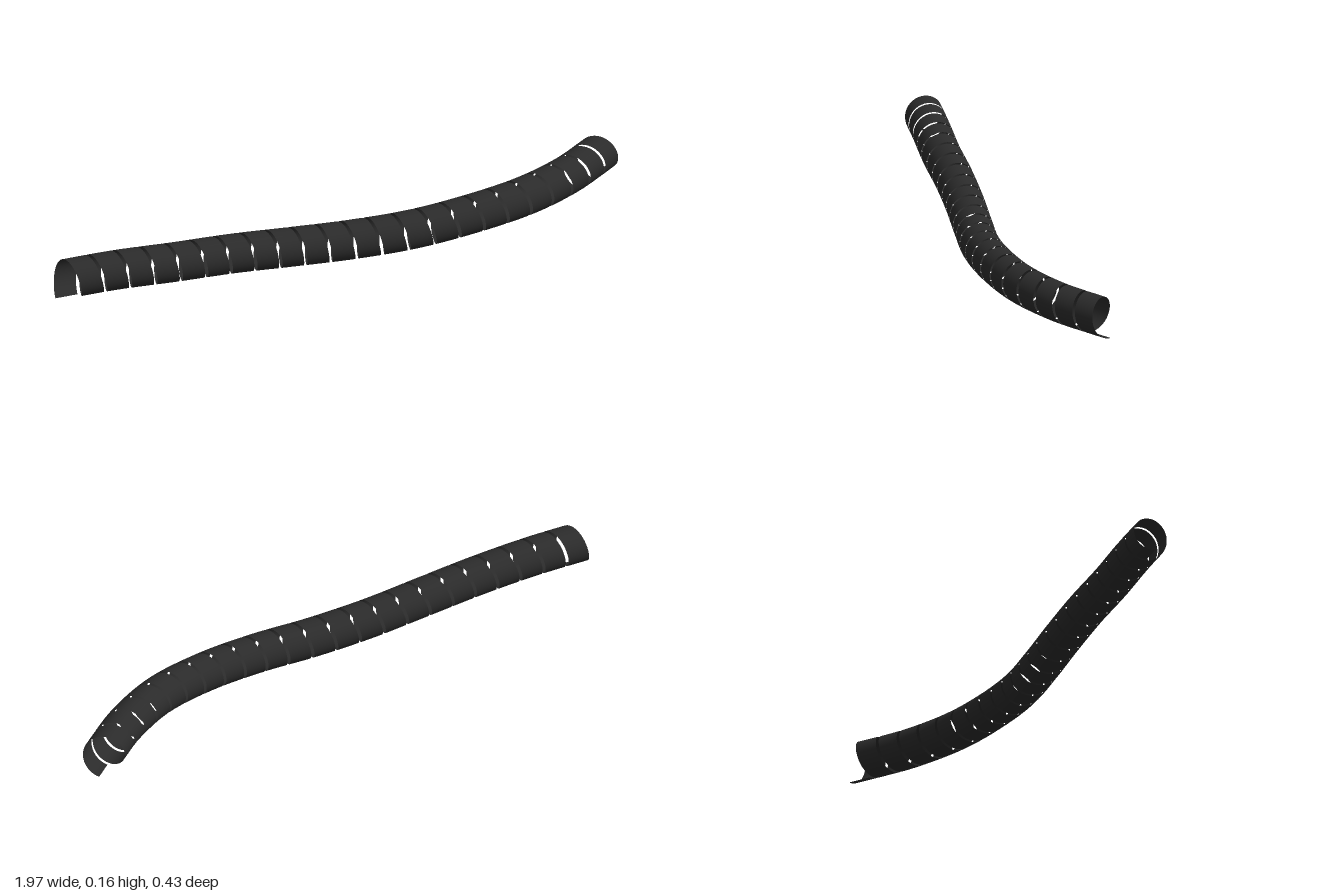
import * as THREE from 'three';

const RADIUS = 0.063;
const TURNS = 23;
const SEGMENTS = 40; // per turn
const ACROSS = 4; // divisions over the strip width

export function createModel() {
  const group = new THREE.Group();
  group.name = 'spiralWrap';

  // Centre line of the bundle the strip is wound round
  const path = new THREE.CatmullRomCurve3([
    [-1.0, 0.092, 0.146], [-0.8, 0.096, 0.14], [-0.6, 0.09, 0.133], [-0.4, 0.082, 0.118],
    [-0.2, 0.07, 0.108], [0, 0.064, 0.106], [0.2, 0.068, 0.104], [0.4, 0.077, 0.077],
    [0.6, 0.083, 0.02], [0.77, 0.083, -0.075], [0.88, 0.083, -0.163], [0.943, 0.083, -0.217],
  ].map((p) => new THREE.Vector3(...p)));
  path.arcLengthDivisions = 600;

  const up = new THREE.Vector3(0, 1, 0);
  const pitch = 1 / (TURNS + 0.87);
  const width = pitch * 0.87;

  // Point on the tube: angle 0 is the bottom, then back, top and front
  function tubePoint(u, angle) {
    const centre = path.getPointAt(u);
    const tangent = path.getTangentAt(u);
    const side = tangent.clone().cross(up).normalize();
    const above = side.clone().cross(tangent).normalize();
    return centre
      .addScaledVector(above, -Math.cos(angle) * RADIUS)
      .addScaledVector(side, -Math.sin(angle) * RADIUS);
  }

  // Helical strip, one row of points across the width per step
  const positions = [];
  const indices = [];
  const steps = TURNS * SEGMENTS;
  for (let i = 0; i <= steps; i++) {
    const turn = i / SEGMENTS;
    for (let j = 0; j <= ACROSS; j++) {
      const u = Math.min(1, turn * pitch + (j / ACROSS) * width);
      const p = tubePoint(u, turn * Math.PI * 2);
      positions.push(p.x, p.y, p.z);
      if (i < steps && j < ACROSS) {
        const a = i * (ACROSS + 1) + j;
        const b = a + ACROSS + 1;
        indices.push(a, a + 1, b, b, a + 1, b + 1);
      }
    }
  }
  const geometry = new THREE.BufferGeometry();
  geometry.setAttribute('position', new THREE.Float32BufferAttribute(positions, 3));
  geometry.setIndex(indices);
  geometry.computeVertexNormals();

  const strip = new THREE.Mesh(
    geometry,
    new THREE.MeshStandardMaterial({ color: 0x2b2b2b, side: THREE.DoubleSide }),
  );
  strip.name = 'helicalStrip';
  group.add(strip);
  return group;
}
